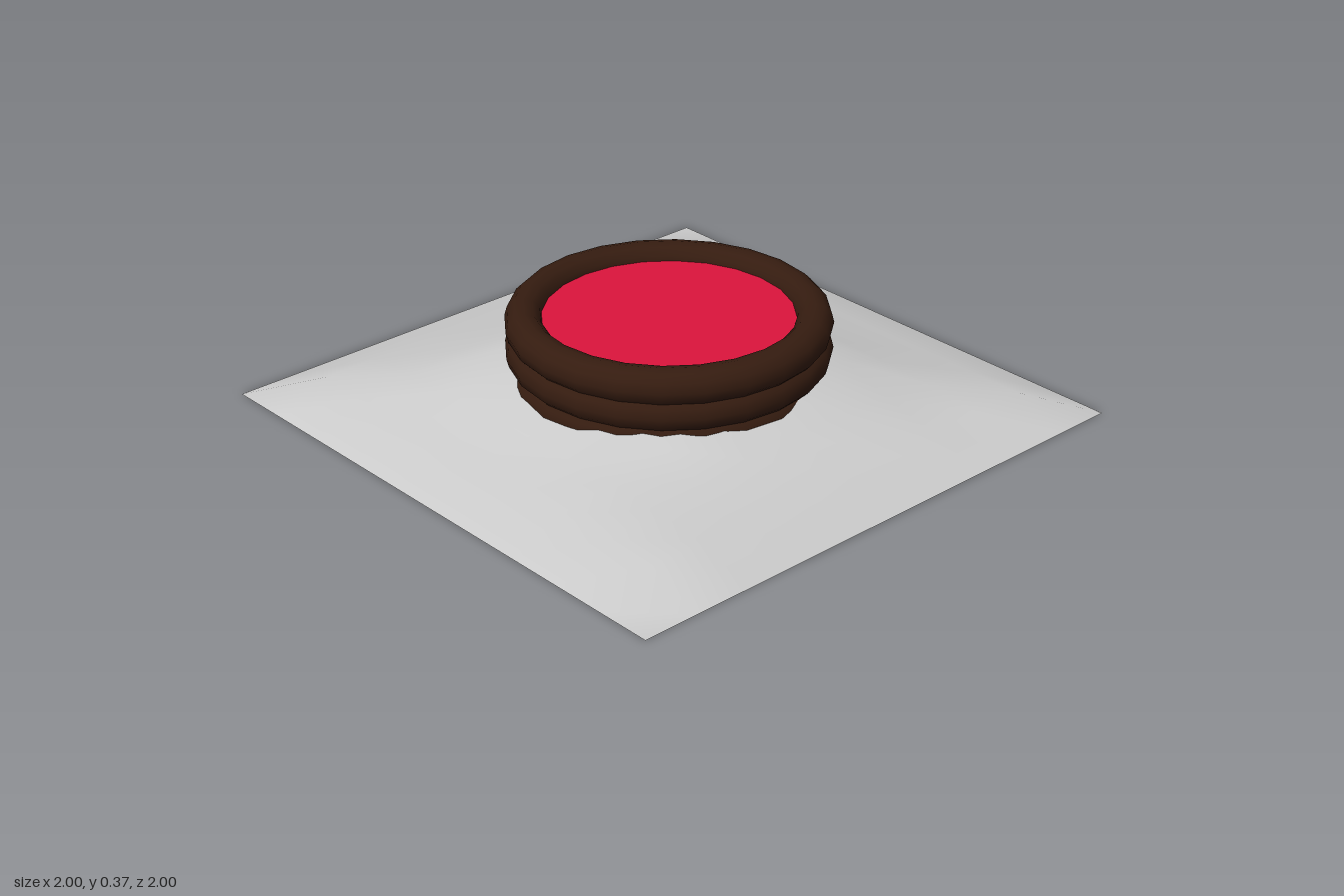
import * as THREE from 'three';

// Mound heights on a 0.2 grid, rows run back (z = -0.6) to front (z = 0.6)
const MOUND = [
  [0.09, 0.10, 0.10, 0.10, 0.10, 0.10, 0.09],
  [0.11, 0.15, 0.18, 0.19, 0.19, 0.17, 0.11],
  [0.12, 0.18, 0.19, 0.19, 0.19, 0.20, 0.14],
  [0.12, 0.19, 0.19, 0.18, 0.19, 0.20, 0.12],
  [0.12, 0.19, 0.19, 0.19, 0.18, 0.19, 0.11],
  [0.11, 0.18, 0.20, 0.20, 0.19, 0.145, 0.10],
  [0.09, 0.10, 0.105, 0.10, 0.10, 0.10, 0.09],
];

function mesh(name, geometry, color, side = THREE.FrontSide) {
  const m = new THREE.Mesh(geometry, new THREE.MeshStandardMaterial({ color, side }));
  m.name = name;
  return m;
}

// Height of the ground: flat border, a low step, then the mound
function groundHeight(x, z) {
  const i = Math.round(x * 5), j = Math.round(z * 5);
  const reach = Math.max(Math.abs(i), Math.abs(j));
  if (reach === 5) return 0;
  if (reach === 4) return 0.07;
  return MOUND[j + 3][i + 3];
}

export function createModel() {
  const model = new THREE.Group();
  model.name = 'ringPool';

  // Ground sheet raised into an uneven mound
  const ground = new THREE.PlaneGeometry(2, 2, 10, 10).rotateX(-Math.PI / 2);
  const p = ground.attributes.position;
  for (let i = 0; i < p.count; i++) p.setY(i, groundHeight(p.getX(i), p.getZ(i)));
  ground.computeVertexNormals();
  model.add(mesh('ground', ground, 0xcccccc, THREE.DoubleSide));

  const pool = new THREE.Group();
  pool.name = 'pool';
  pool.position.set(-0.005, 0, -0.004);
  model.add(pool);

  // Three stacked rings form the wall
  const ring = new THREE.TorusGeometry(0.472, 0.062, 12, 24).rotateX(-Math.PI / 2);
  [0.128, 0.218, 0.308].forEach((y, i) => {
    const wall = mesh(`wallRing${i + 1}`, ring, 0x351c10);
    wall.position.y = y;
    pool.add(wall);
  });

  // Liquid surface just below the rim
  const liquid = mesh('liquidSurface', new THREE.CircleGeometry(0.43, 24).rotateX(-Math.PI / 2), 0xdc143c, THREE.DoubleSide);
  liquid.position.y = 0.322;
  pool.add(liquid);

  return model;
}
